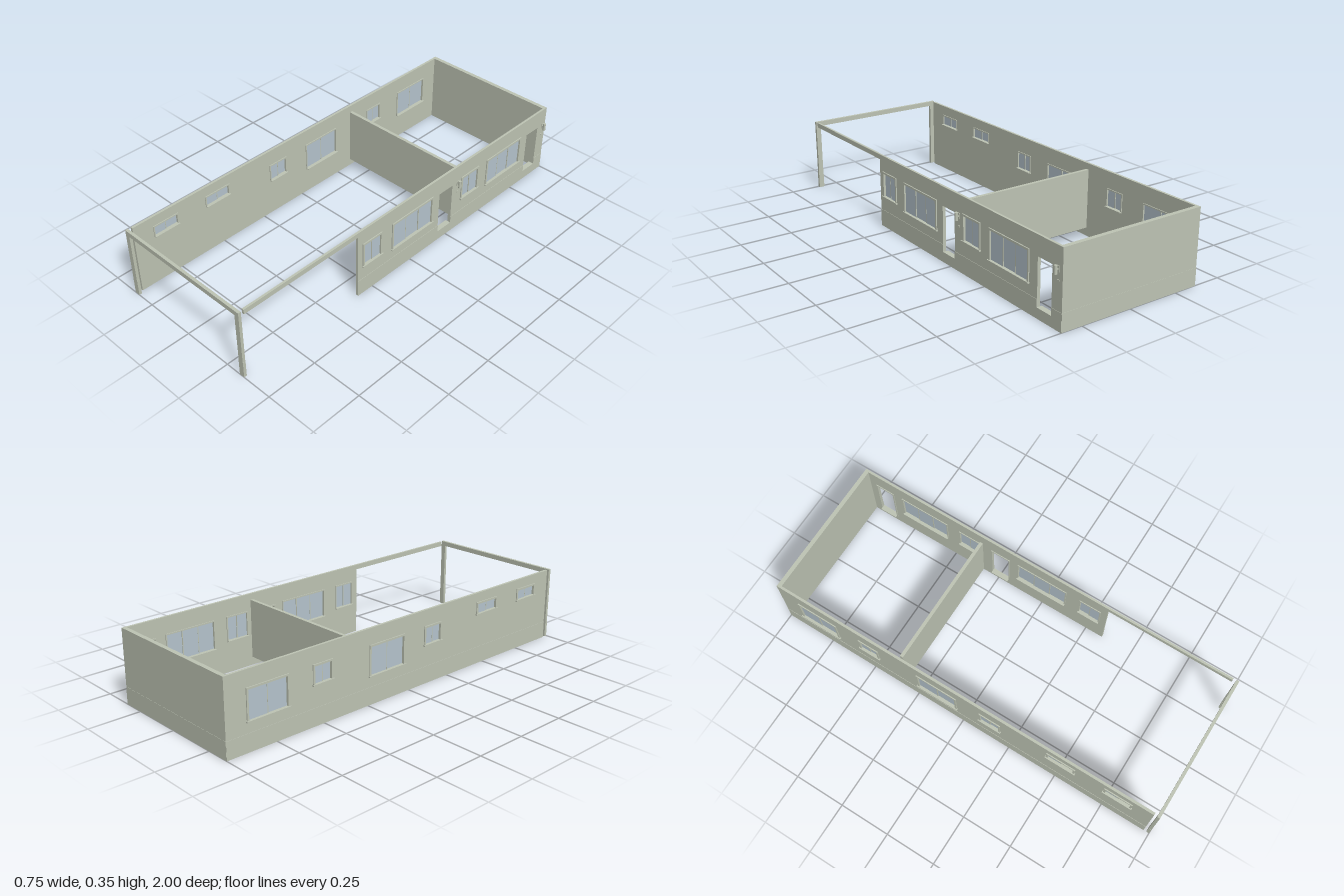
import * as THREE from 'three';

const wallPaint = new THREE.MeshStandardMaterial({ color: 0xbec4b4 });
wallPaint.name = 'sage wall';
const glassPaint = new THREE.MeshStandardMaterial({ color: 0xb6c5ce });
glassPaint.name = 'pale glass';

const H = 0.353, BEAM = 0.33, FLOOR = 0.048, PLINTH = 0.083;
const RIGHT_END = 0.34, LEFT_END = 0.972;

// Box from opposite corners
function box(parent, name, x0, x1, y0, y1, z0, z1, material = wallPaint) {
  const geometry = new THREE.BoxGeometry(Math.abs(x1 - x0), y1 - y0, z1 - z0);
  const mesh = new THREE.Mesh(geometry, material);
  mesh.name = name;
  mesh.position.set((x0 + x1) / 2, (y0 + y1) / 2, (z0 + z1) / 2);
  parent.add(mesh);
  return mesh;
}

// Upright slab in the z-y plane between two x values, with rectangular holes
function slab(parent, name, xa, xb, rect, holes) {
  const corners = ([z0, z1, y0, y1]) => [
    new THREE.Vector2(z0, y0), new THREE.Vector2(z1, y0),
    new THREE.Vector2(z1, y1), new THREE.Vector2(z0, y1)];
  const shape = new THREE.Shape(corners(rect));
  holes.forEach((h) => shape.holes.push(new THREE.Path(corners(h).reverse())));
  const geometry = new THREE.ExtrudeGeometry(shape, { depth: Math.abs(xb - xa), bevelEnabled: false });
  geometry.rotateY(-Math.PI / 2);
  const mesh = new THREE.Mesh(geometry, wallPaint);
  mesh.name = name;
  mesh.position.x = Math.max(xa, xb);
  parent.add(mesh);
}

const grow = ([z0, z1, y0, y1], m) => [z0 - m, z1 + m, y0 - m, y1 + m];

// Window with trim, sills and overlapping panes; s points outwards along x
function addWindow(parent, rect, outer, inner, s) {
  const g = new THREE.Group();
  g.name = 'window';
  const [z0, z1, y0, y1] = rect;
  slab(g, 'outerTrim', outer, outer + s * 0.005, grow(rect, 0.009), [rect]);
  slab(g, 'innerTrim', inner - s * 0.004, inner, grow(rect, 0.006), [rect]);
  box(g, 'outerSill', outer, outer + s * 0.01, y0 - 0.006, y0, z0 - 0.013, z1 + 0.013);
  box(g, 'innerSill', inner, inner - s * 0.013, y0 - 0.004, y0, z0 - 0.005, z1 + 0.005);
  const count = z1 - z0 > 0.23 ? 3 : 2;
  const width = (z1 - z0) / count;
  const mid = (outer + inner) / 2;
  for (let i = 0; i < count; i++) {
    const x = mid + (i % 2 ? -0.0015 : 0.0015) * s;
    const a = z0 + i * width, b = a + width;
    box(g, 'pane', x - 0.001, x + 0.001, y0, y1, a, b, glassPaint);
    // slim meeting stile between the sliding panes
    if (i > 0) box(g, 'stile', mid - 0.003, mid + 0.003, y0, y1, a - 0.002, a + 0.002);
  }
  parent.add(g);
}

// Porch lamp with bracket and a bell button below
function addLamp(parent, z) {
  const g = new THREE.Group();
  g.name = 'wallLamp';
  box(g, 'bracket', 0.352, 0.361, 0.255, 0.261, z - 0.003, z + 0.003);
  box(g, 'backPlate', 0.352, 0.355, 0.245, 0.271, z - 0.005, z + 0.005);
  const body = new THREE.Mesh(new THREE.CylinderGeometry(0.007, 0.007, 0.037, 16), wallPaint);
  body.name = 'lampBody';
  body.position.set(0.367, 0.2585, z);
  g.add(body);
  box(g, 'bellButton', 0.352, 0.355, 0.208, 0.214, z - 0.006, z + 0.006);
  parent.add(g);
}

export function createModel() {
  const model = new THREE.Group();
  model.name = 'longHouse';

  // Openings as [z0, z1, y0, y1]
  const rightWindows = [
    [0.201, 0.303, 0.157, 0.268], [-0.137, 0.118, 0.137, 0.268],
    [-0.464, -0.355, 0.157, 0.268], [-0.79, -0.542, 0.137, 0.268]];
  const doors = [[-0.283, -0.192, FLOOR, 0.263], [-0.938, -0.85, FLOOR, 0.263]];
  const leftWindows = [
    [0.745, 0.866, 0.252, 0.298], [0.453, 0.58, 0.252, 0.298],
    [0.102, 0.196, 0.19, 0.268], [-0.234, -0.038, 0.137, 0.268],
    [-0.55, -0.46, 0.19, 0.268], [-0.888, -0.692, 0.137, 0.268]];

  // Long side walls
  slab(model, 'rightSideWall', 0.341, 0.352, [-0.98, RIGHT_END, 0, H], [...rightWindows, ...doors]);
  slab(model, 'leftSideWall', -0.365, -0.353, [-0.98, LEFT_END, 0, H], leftWindows);
  rightWindows.forEach((r) => addWindow(model, r, 0.352, 0.341, 1));
  leftWindows.forEach((r) => addWindow(model, r, -0.365, -0.353, -1));

  // End wall and inner partition
  box(model, 'backWall', -0.365, 0.352, 0, H, -1, -0.98);
  box(model, 'partition', -0.34, 0.325, FLOOR, BEAM, -0.341, -0.325);

  // Open carport: side beam and front portal
  box(model, 'sideBeam', 0.341, 0.352, BEAM, H, RIGHT_END, LEFT_END);
  box(model, 'frontBeam', -0.365, 0.352, BEAM, H, 0.986, 1);
  for (const [a, b] of [[-0.365, -0.341], [0.328, 0.352]]) {
    box(model, 'frontPost', a, b, 0, BEAM, 0.986, 1);
    box(model, 'postPlinth', a - 0.001, b + 0.001, 0, PLINTH, 0.986, 1);
  }

  // Shallow plinth around the outside, broken at the doors
  box(model, 'leftPlinth', -0.3665, -0.365, 0, PLINTH, -1, LEFT_END);
  box(model, 'backPlinth', -0.365, 0.352, 0, PLINTH, -1.001, -1);
  let start = -1;
  for (const [z0, z1] of [...doors].reverse()) {
    box(model, 'rightPlinth', 0.352, 0.3535, 0, PLINTH, start, z0);
    box(model, 'doorPlinth', 0.352, 0.3535, 0, FLOOR, z0, z1);
    start = z1;
  }
  box(model, 'rightPlinth', 0.352, 0.3535, 0, PLINTH, start, RIGHT_END);

  // Door linings on the inner face
  for (const d of doors) {
    slab(model, 'doorLining', 0.337, 0.341, grow(d, 0.006), [d]);
    box(model, 'threshold', 0.327, 0.341, FLOOR - 0.004, FLOOR, d[0], d[1]);
  }

  addLamp(model, -0.319);
  addLamp(model, -0.975);
  return model;
}
